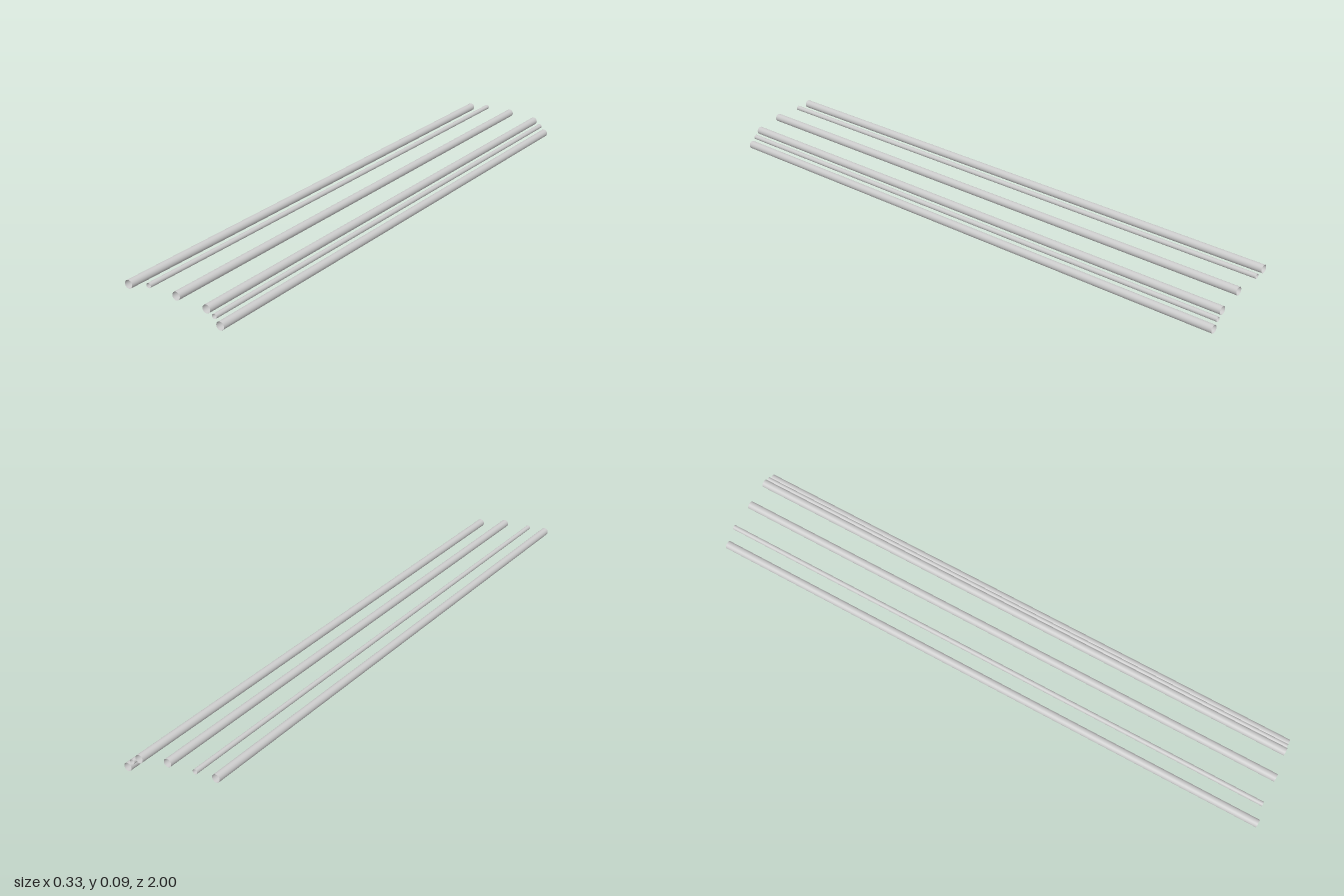
import * as THREE from 'three';

// Six open-ended parallel tubes running front to back along a shallow arc
export function createModel() {
  const group = new THREE.Group();
  const material = new THREE.MeshStandardMaterial({ color: 0xcccccc, side: THREE.DoubleSide });
  const wide = 0.0135, thin = 0.008, length = 1.975;

  // name, x, y, radius, middle z
  const tubes = [
    ['rightOuterTube', -0.153, 0.0725, wide, 0.0125],
    ['rightThinTube', -0.0905, 0.079, thin, -0.001],
    ['centreTube', 0.0085, 0.072, wide, -0.001],
    ['leftInnerTube', 0.107, 0.0545, wide, -0.010],
    ['leftThinTube', 0.132, 0.0375, thin, -0.0125],
    ['leftOuterTube', 0.151, 0.0135, wide, -0.0125],
  ];

  for (const [name, x, y, radius, z] of tubes) {
    const geometry = new THREE.CylinderGeometry(radius, radius, length, 32, 1, true);
    geometry.rotateX(Math.PI / 2);
    const tube = new THREE.Mesh(geometry, material);
    tube.name = name;
    tube.position.set(x, y, z);
    group.add(tube);
  }
  return group;
}
